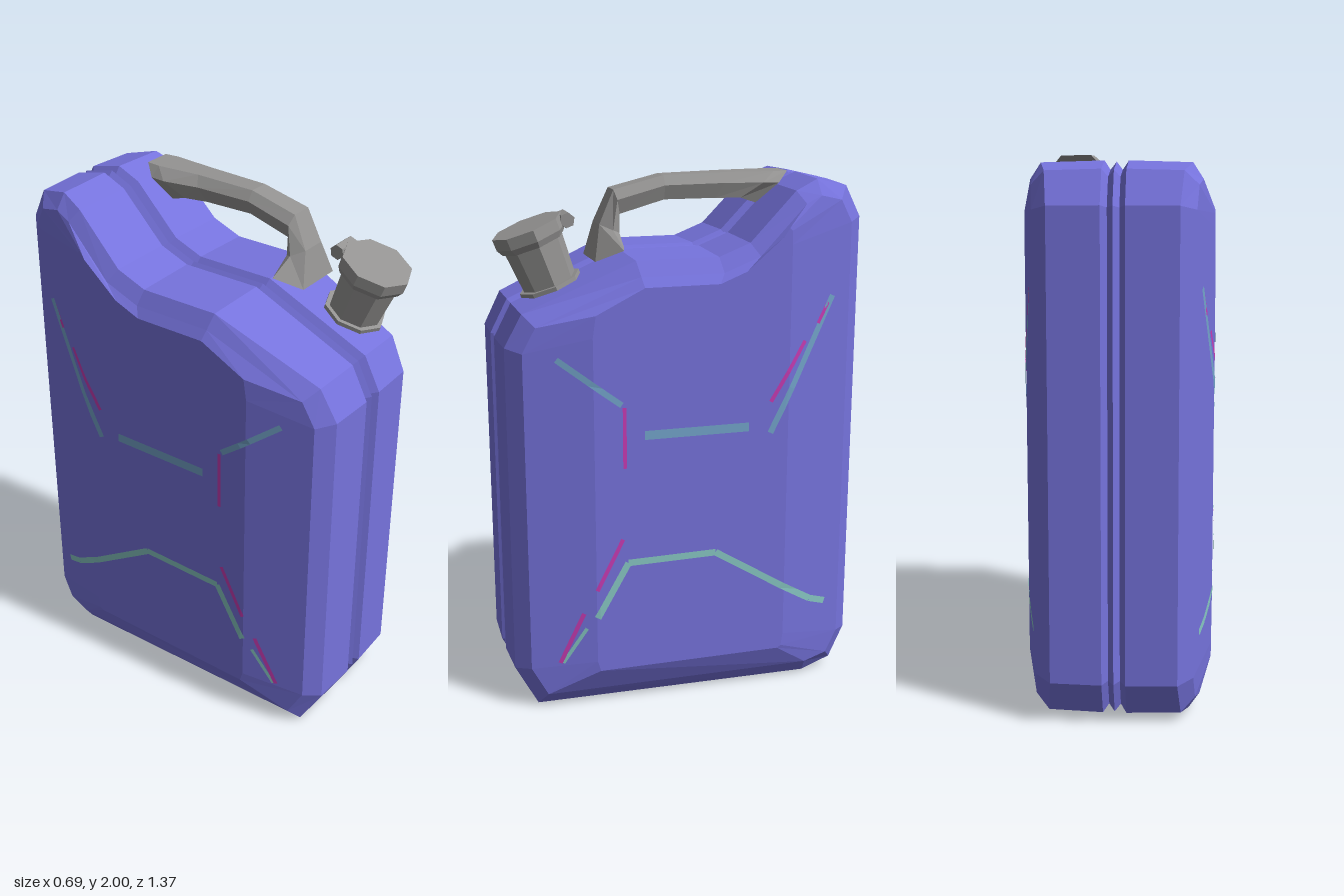
import * as THREE from 'three';

const material = (name, color, extra = {}) =>
  Object.assign(new THREE.MeshStandardMaterial({ color, flatShading: true, ...extra }), { name });

const V = (x, y, z) => new THREE.Vector3(x, y, z);

function addMesh(parent, name, geometry, mat) {
  const mesh = new THREE.Mesh(geometry, mat);
  mesh.name = name;
  parent.add(mesh);
  return mesh;
}

function fromTriangles(tris) {
  const geo = new THREE.BufferGeometry().setFromPoints(tris);
  geo.computeVertexNormals();
  return geo;
}

// Skin between closed rings, with a fan closing each end.
function loft(rings) {
  const tris = [];
  const n = rings[0].length;
  for (let r = 0; r < rings.length - 1; r++) {
    const a = rings[r], b = rings[r + 1];
    for (let i = 0; i < n; i++) {
      const j = (i + 1) % n;
      tris.push(a[i], b[i], b[j], a[i], b[j], a[j]);
    }
  }
  const cap = (ring, flip) => {
    const c = ring.reduce((s, p) => s.add(p), V(0, 0, 0)).divideScalar(n);
    for (let i = 0; i < n; i++) {
      const p = ring[i], q = ring[(i + 1) % n];
      tris.push(c, flip ? q : p, flip ? p : q);
    }
  };
  cap(rings[0], false);
  cap(rings[rings.length - 1], true);
  return fromTriangles(tris);
}

// Can outline and the smaller outline of the flat side, as [z, y].
const outline = [
  [0.59, 0.005], [-0.49, 0.005], [-0.62, 0.035], [-0.685, 0.16], [-0.685, 1.83],
  [-0.62, 1.95], [-0.49, 1.98], [-0.40, 1.94], [-0.225, 1.76], [-0.11, 1.715],
  [0.20, 1.715], [0.61, 1.535], [0.675, 1.41], [0.675, 0.16],
];
const sideOutline = [
  [0.36, 0.16], [-0.35, 0.16], [-0.365, 0.17], [-0.372, 0.22], [-0.372, 1.75],
  [-0.37, 1.80], [-0.36, 1.81], [-0.34, 1.78], [-0.20, 1.66], [-0.10, 1.62],
  [0.18, 1.62], [0.36, 1.53], [0.372, 1.45], [0.372, 0.20],
];

// Move the outline inwards by d along its mitred corners.
function inset(points, d) {
  const n = points.length;
  const inward = (p, q) => {
    const dz = q[0] - p[0], dy = q[1] - p[1], l = Math.hypot(dz, dy);
    return [dy / l, -dz / l];
  };
  return points.map((p, i) => {
    const a = inward(points[(i + n - 1) % n], p), b = inward(p, points[(i + 1) % n]);
    const k = d / (1 + a[0] * b[0] + a[1] * b[1]);
    return [p[0] + (a[0] + b[0]) * k, p[1] + (a[1] + b[1]) * k];
  });
}

// Narrowing of the can towards its front and back.
const taper = (z, mid, end, reach) =>
  mid + (end - mid) * THREE.MathUtils.clamp((Math.abs(z) - 0.37) / (reach - 0.37), 0, 1);

function bodyGeometry() {
  const ring = (points, x) => points.map(([z, y]) => V(x(z), y, z));
  const half = [
    ring(sideOutline, () => 0.34),
    ring(inset(outline, 0.06), z => taper(z, 0.318, 0.28, 0.62)),
    ring(inset(outline, 0.006), z => taper(z, 0.287, 0.225, 0.67)),
    ring(outline, () => 0.042),
    ring(inset(outline, 0.03), () => 0.021),
  ];
  const mirrored = half.map(r => r.map(p => V(-p.x, p.y, p.z))).reverse();
  return loft([...half, ring(inset(outline, 0.004), () => 0), ...mirrored]);
}

// Painted line on the can's side, through [z, y] points, following its bend.
function sideLine(points, width, side) {
  const tris = [];
  const at = (z, y) => V(side * (taper(z, 0.34, 0.28, 0.62) + 0.004), y, z);
  for (let s = 0; s < points.length - 1; s++) {
    const [z0, y0] = points[s], [z1, y1] = points[s + 1];
    const l = Math.hypot(z1 - z0, y1 - y0);
    const oz = -(y1 - y0) / l * width / 2, oy = (z1 - z0) / l * width / 2;
    const steps = 6;
    for (let i = 0; i < steps; i++) {
      const [a, b, c, d] = [[i, 1], [i, -1], [i + 1, -1], [i + 1, 1]].map(([k, e]) =>
        at(z0 + (z1 - z0) * k / steps + oz * e, y0 + (y1 - y0) * k / steps + oy * e));
      tris.push(a, b, c, a, c, d);
    }
  }
  return fromTriangles(tris);
}

function handleGeometry() {
  // top z, top y, bottom z, bottom y, half width, height of the widest point
  const stations = [
    [-0.395, 2.0, -0.27, 1.89, 0.088, 0.35],
    [-0.34, 2.0, -0.21, 1.91, 0.098, 0.4],
    [-0.17, 2.0, -0.12, 1.91, 0.072, 0.4],
    [0.07, 1.995, 0.07, 1.91, 0.064, 0.4],
    [0.255, 1.95, 0.235, 1.865, 0.07, 0.4],
    [0.31, 1.83, 0.24, 1.80, 0.085, 0.6],
    [0.337, 1.705, 0.238, 1.755, 0.162, 0.9],
  ];
  return loft(stations.map(([tz, ty, bz, by, w, t]) =>
    [[-0.6, 0], [0.6, 0], [1, t], [0.75, 1], [-0.75, 1], [-1, t]].map(([u, v]) =>
      V(0.15 + u * w, ty + (by - ty) * v, tz + (bz - tz) * v))));
}

export function createModel() {
  const violet = material('violet paint', 0x7673dd);
  const grey = material('grey metal', 0x949392);
  const teal = material('teal line', 0x88c8c4, { side: THREE.DoubleSide });
  const steel = material('steel blue line', 0x74a6cc, { side: THREE.DoubleSide });
  const magenta = material('magenta line', 0xc83cb4, { side: THREE.DoubleSide });

  const model = new THREE.Group();
  model.name = 'fuelCan';
  addMesh(model, 'body', bodyGeometry(), violet);
  addMesh(model, 'handle', handleGeometry(), grey);

  // Tilted filler neck with its cap and latch
  const spout = new THREE.Group();
  spout.name = 'spout';
  spout.position.set(0.165, 1.615, 0.482);
  spout.rotation.x = 0.365;
  model.add(spout);
  const tube = (name, top, bottom, h, y) =>
    addMesh(spout, name, new THREE.CylinderGeometry(top, bottom, h, 8), grey).position.y = y;
  tube('neckFlange', 0.115, 0.115, 0.015, 0.008);
  tube('neck', 0.11, 0.098, 0.17, 0.095);
  tube('capSkirt', 0.131, 0.118, 0.025, 0.178);
  tube('cap', 0.131, 0.131, 0.042, 0.21);
  const latch = addMesh(spout, 'latch', new THREE.CylinderGeometry(0.028, 0.028, 0.095, 6), grey);
  latch.rotation.z = Math.PI / 2;
  latch.position.set(0, 0.2, -0.135);

  // Painted crease lines on both sides
  const lines = [
    ['upperLine', steel, 0.022, [[0.5, 1.375], [0.27, 1.2]]],
    ['middleLine', steel, 0.034, [[0.185, 1.08], [-0.215, 1.08]]],
    ['rearLine', steel, 0.024, [[-0.3, 1.05], [-0.55, 1.55]]],
    ['lowerLine', teal, 0.026, [[0.37, 0.38], [0.25, 0.59], [-0.09, 0.595], [-0.49, 0.345], [-0.56, 0.32]]],
    ['lowerTip', teal, 0.014, [[0.5, 0.2], [0.41, 0.34]]],
    ['frontAccent', magenta, 0.014, [[0.26, 1.19], [0.26, 0.96]]],
    ['rearAccent', magenta, 0.016, [[-0.3, 1.17], [-0.435, 1.39]]],
    ['rearAccentTip', magenta, 0.014, [[-0.49, 1.45], [-0.545, 1.55]]],
    ['lowerAccent', magenta, 0.016, [[0.27, 0.685], [0.37, 0.49]]],
    ['lowerAccentTip', magenta, 0.016, [[0.42, 0.4], [0.51, 0.2]]],
  ];
  for (const side of [1, -1]) {
    for (const [name, mat, width, points] of lines) {
      addMesh(model, (side > 0 ? 'left ' : 'right ') + name, sideLine(points, width, side), mat);
    }
  }

  // Line along the seam underneath
  addMesh(model, 'bottomSeam', new THREE.BoxGeometry(0.016, 0.006, 1.06), teal)
    .position.set(0.021, 0.022, 0.05);

  return model;
}
